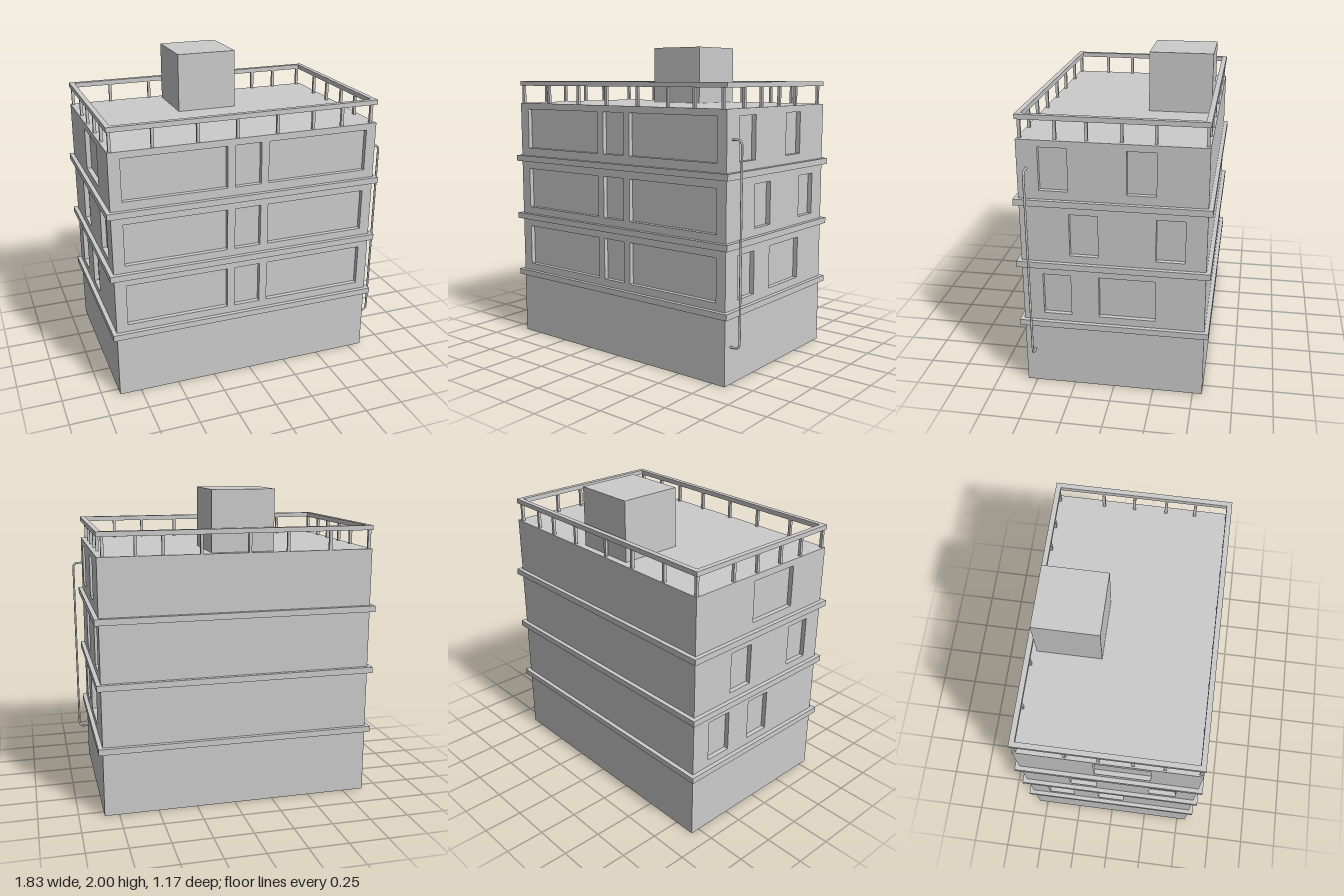
import * as THREE from 'three';

const mat = new THREE.MeshStandardMaterial({ color: 0xcccccc, side: THREE.DoubleSide });

const X0 = -0.888, X1 = 0.842, Z = 0.56, ROOF = 1.622, CX = (X0 + X1) / 2;
const LEDGES = [[0.412, 0.45], [0.816, 0.855], [1.221, 1.26]];
const ROWS = [[0.498, 0.766], [0.902, 1.17], [1.314, 1.58]];
const RECESS = 0.03;

function add(parent, name, geometry, x = 0, y = 0, z = 0) {
  const mesh = new THREE.Mesh(geometry, mat);
  mesh.name = name;
  mesh.position.set(x, y, z);
  parent.add(mesh);
  return mesh;
}

// Flat-shaded strip joining four-cornered rings, optionally closed at the last ring
function skin(rings, cap = false) {
  const pos = [];
  const quad = (a, b, c, d) => pos.push(...a, ...b, ...c, ...a, ...c, ...d);
  for (let r = 0; r < rings.length - 1; r++) {
    for (let i = 0; i < 4; i++) {
      const j = (i + 1) % 4;
      quad(rings[r][i], rings[r][j], rings[r + 1][j], rings[r + 1][i]);
    }
  }
  if (cap) quad(...rings[rings.length - 1]);
  const g = new THREE.BufferGeometry();
  g.setAttribute('position', new THREE.Float32BufferAttribute(pos, 3));
  g.computeVertexNormals();
  return g;
}

// Horizontal ring around the building at a given outward offset
const planRing = (y, o) => [
  [X0 - o, y, Z + o], [X1 + o, y, Z + o], [X1 + o, y, -Z - o], [X0 - o, y, -Z - o],
];

const rect = (x0, x1, y0, y1) => [[x0, y0], [x1, y0], [x1, y1], [x0, y1]];
const toPath = (pts, Type) => new Type(pts.map(([x, y]) => new THREE.Vector2(x, y)));

// One storey of one wall, facing local +z, with recessed windows
function wallStorey(width, y0, y1, spans, row) {
  const g = new THREE.Group();
  const shape = toPath(rect(-width / 2, width / 2, y0, y1), THREE.Shape);
  for (const [a, b] of spans) {
    const corners = rect(a, b, row[0], row[1]);
    shape.holes.push(toPath(corners, THREE.Path));
    const rings = [0, -RECESS].map(z => corners.map(([x, y]) => [x, y, z]));
    add(g, 'windowRecess', skin(rings, true));
  }
  add(g, 'wallPanel', new THREE.ShapeGeometry(shape));
  return g;
}

export function createModel() {
  const model = new THREE.Group();
  model.name = 'building';

  // Walls: window spans per storey along each wall's own horizontal axis
  const front = [[-0.815, -0.16], [-0.11, 0.06], [0.11, 0.775]].map(s => s.map(x => x - CX));
  const a = 0.087, b = 0.26, c = 0.433;
  const walls = [
    { name: 'frontWall', width: X1 - X0, x: CX, z: Z, turn: 0, spans: [front, front, front] },
    { name: 'backWall', width: X1 - X0, x: CX, z: -Z, turn: Math.PI, spans: [[], [], []] },
    { name: 'leftWall', width: 2 * Z, x: X1, z: 0, turn: Math.PI / 2,
      spans: [[[-c, -b], [-a, b]], [[-b, -a], [b, c]], [[-c, -b], [a, b]]] },
    { name: 'rightWall', width: 2 * Z, x: X0, z: 0, turn: -Math.PI / 2,
      spans: [[[-c, -b], [-a, a]], [[-b, -a], [b, c]], [[-a, b]]] },
  ];
  for (const w of walls) {
    const wall = new THREE.Group();
    wall.name = w.name;
    wall.position.set(w.x, 0, w.z);
    wall.rotation.y = w.turn;
    wall.add(wallStorey(w.width, 0, LEDGES[0][0], [], null));
    w.spans.forEach((spans, i) => {
      const top = i < 2 ? LEDGES[i + 1][0] : ROOF;
      wall.add(wallStorey(w.width, LEDGES[i][1], top, spans, ROWS[i]));
    });
    model.add(wall);
  }

  // Hollow ledges between storeys
  for (const [y0, y1] of LEDGES) {
    const o = 0.027;
    add(model, 'ledge', skin([planRing(y0, 0), planRing(y0, o), planRing(y1, o), planRing(y1, 0)]));
  }

  // Roof deck and stair house
  const deck = new THREE.PlaneGeometry(X1 - X0, 2 * Z).rotateX(-Math.PI / 2);
  add(model, 'roof', deck, CX, ROOF, 0);
  add(model, 'stairHouse', new THREE.BoxGeometry(0.393, 2 - ROOF, 0.4), -0.053, (2 + ROOF) / 2, -0.318);

  // Railing: a closed handrail on square posts
  const railing = new THREE.Group();
  railing.name = 'railing';
  model.add(railing);
  const railY = 1.74, railTop = 1.77, t = -0.032;
  add(railing, 'handrail', skin([
    planRing(railY, t), planRing(railY, 0), planRing(railTop, 0), planRing(railTop, t), planRing(railY, t),
  ]));
  const postGeo = new THREE.BoxGeometry(0.018, railY - ROOF, 0.018);
  const post = (x, z) => add(railing, 'post', postGeo, x, (railY + ROOF) / 2, z);
  const PX0 = -0.87, PX1 = 0.806, PZ = 0.543;
  for (const x of [PX0, -0.618, -0.342, -0.092, 0.168, 0.405, 0.603, PX1]) post(x, PZ);
  for (const x of [PX0, -0.612, -0.337, -0.092, 0.21, 0.445, 0.61, PX1]) post(x, -PZ);
  for (const z of [0.335, 0.15, -0.055, -0.252]) {
    post(PX0, z);
    post(PX1, z);
  }

  // Drainpipe with rounded elbows
  const V = (x, y) => new THREE.Vector3(x, y, 0.502);
  const px = 0.906, top = 1.449, low = 0.23, r = 0.035;
  const path = new THREE.CurvePath();
  path.add(new THREE.LineCurve3(V(X1 - 0.005, top), V(px - r, top)));
  path.add(new THREE.QuadraticBezierCurve3(V(px - r, top), V(px, top), V(px, top - r)));
  path.add(new THREE.LineCurve3(V(px, top - r), V(px, low + r)));
  path.add(new THREE.QuadraticBezierCurve3(V(px, low + r), V(px, low), V(px - r, low)));
  path.add(new THREE.LineCurve3(V(px - r, low), V(X1 - 0.005, low)));
  add(model, 'drainpipe', new THREE.TubeGeometry(path, 200, 0.007, 10));

  return model;
}
